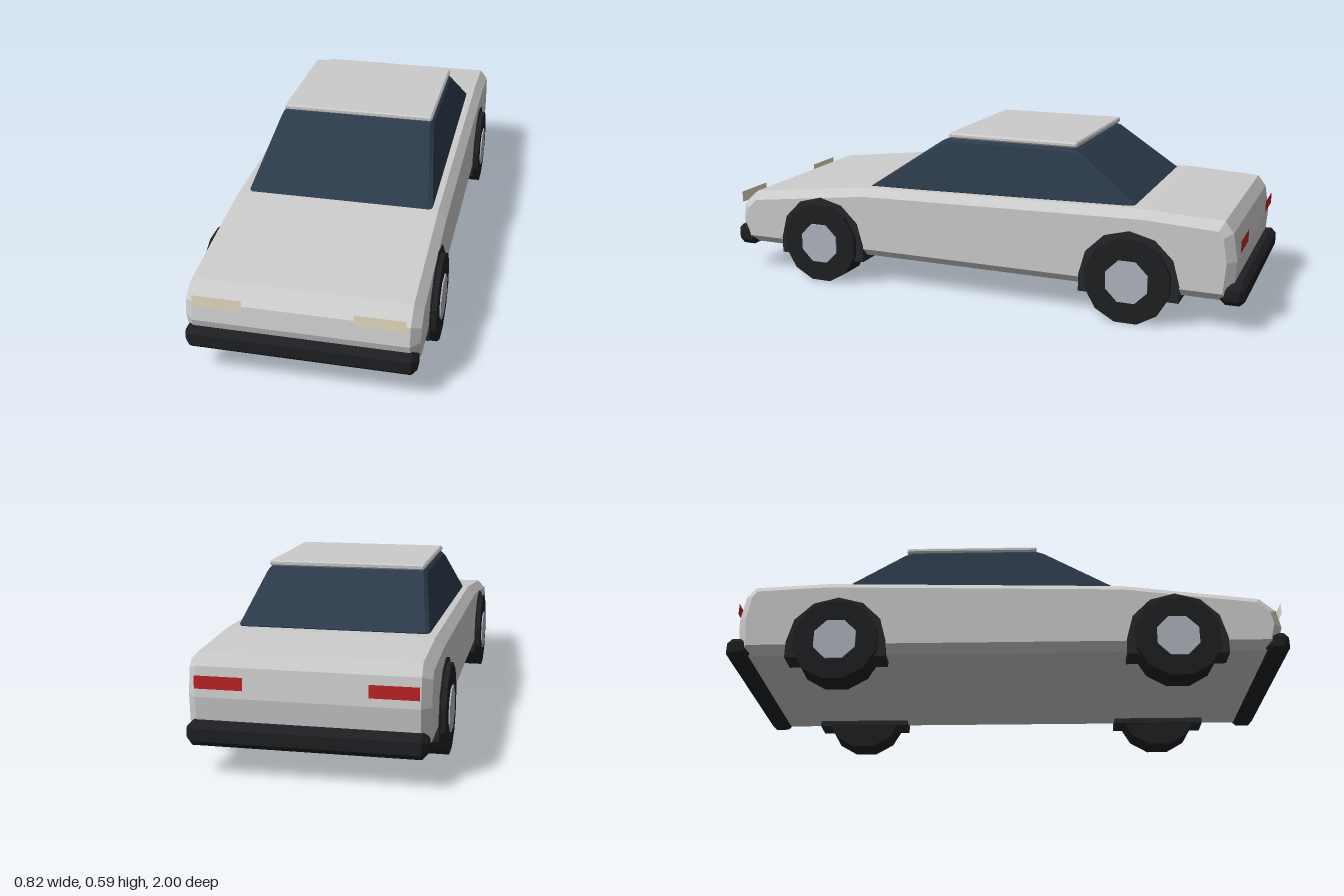
import * as THREE from 'three';

const paint = (color) => new THREE.MeshStandardMaterial({ color, flatShading: true });

// Side profile of [z, y] points, extruded across x between -half and half with chamfered sides
function sideExtrude(points, half, bevel) {
  const shape = new THREE.Shape(points.map(([z, y]) => new THREE.Vector2(z, y)));
  const depth = 2 * (half - bevel);
  const geo = new THREE.ExtrudeGeometry(shape, {
    depth, steps: 1, bevelEnabled: bevel > 0, bevelThickness: bevel,
    bevelSize: bevel, bevelOffset: -bevel, bevelSegments: 1,
  });
  geo.translate(0, 0, -depth / 2);
  geo.rotateY(-Math.PI / 2);
  return geo;
}

// Rectangle in [z, y] with cut corners
function cutRect(z0, z1, y0, y1, c) {
  return [[z0 + c, y0], [z1 - c, y0], [z1, y0 + c], [z1, y1 - c],
    [z1 - c, y1], [z0 + c, y1], [z0, y1 - c], [z0, y0 + c]];
}

export function createModel() {
  const car = new THREE.Group();
  const grey = paint(0xcccccc), glass = paint(0x2b3a4a), black = paint(0x1e1f22);
  const rubber = paint(0x26272a), metal = paint(0xb0b4be);
  const lampMat = paint(0xe8dfc4), tailMat = paint(0xc02424);
  lampMat.side = tailMat.side = THREE.DoubleSide;

  const add = (name, geo, mat, parent = car) => {
    const mesh = new THREE.Mesh(geo, mat);
    mesh.name = name;
    parent.add(mesh);
    return mesh;
  };

  // Body shell
  add('body', sideExtrude([
    [-0.955, 0.11], [0.955, 0.11], [0.98, 0.2], [0.967, 0.265], [0.91, 0.315],
    [0.42, 0.375], [-0.65, 0.398], [-0.92, 0.384], [-0.95, 0.345], [-0.966, 0.25],
  ], 0.385, 0.03), grey);

  // Glass cabin, narrowed towards the roof
  const cabin = sideExtrude([
    [0.418, 0.373], [0.14, 0.56], [0.11, 0.572], [-0.355, 0.572], [-0.385, 0.56], [-0.607, 0.4],
    [-0.58, 0.385],
  ], 0.333, 0.012);
  const pos = cabin.attributes.position;
  for (let i = 0; i < pos.count; i++) {
    const t = (pos.getY(i) - 0.38) / 0.18;
    pos.setX(i, pos.getX(i) * (1 - 0.14 * t));
  }
  cabin.computeVertexNormals();
  add('cabinGlass', cabin, glass);

  // Roof panel
  add('roof', sideExtrude(cutRect(-0.38, 0.113, 0.571, 0.591, 0.005), 0.28, 0.006), grey);

  // Bumpers
  add('frontBumper', sideExtrude(cutRect(0.915, 1, 0.098, 0.175, 0.018), 0.38, 0.018), black);
  add('rearBumper', sideExtrude(cutRect(-1, -0.915, 0.098, 0.175, 0.018), 0.38, 0.018), black);

  // Wheel arch: half a twelve-sided disc with straight legs
  const archPoints = [[-0.178, -0.06], [0.178, -0.06]];
  for (let i = 0; i <= 6; i++) {
    const a = (i * Math.PI) / 6;
    archPoints.push([0.178 * Math.cos(a), 0.175 * Math.sin(a)]);
  }
  const archGeo = sideExtrude(archPoints, 0.046, 0);
  const tireGeo = new THREE.CylinderGeometry(0.154, 0.154, 0.105, 12).rotateY(Math.PI / 12).rotateZ(Math.PI / 2);
  const hubGeo = new THREE.CylinderGeometry(0.08, 0.08, 0.03, 8).rotateY(Math.PI / 8).rotateZ(Math.PI / 2);

  for (const side of [-1, 1]) {
    const sideName = side > 0 ? 'left' : 'right';
    for (const z of [0.605, -0.605]) {
      const wheel = new THREE.Group();
      wheel.name = sideName + (z > 0 ? 'FrontWheel' : 'RearWheel');
      wheel.position.set(0, 0.149, z);
      add('wheelArch', archGeo, rubber, wheel).position.x = side * 0.342;
      add('tire', tireGeo, black, wheel).position.x = side * 0.353;
      add('hubcap', hubGeo, metal, wheel).position.x = side * 0.395;
      car.add(wheel);
    }
    // Flat lamp panels
    add(sideName + 'Headlight', new THREE.PlaneGeometry(0.164, 0.042), lampMat)
      .position.set(side * 0.263, 0.281, 0.99);
    const tail = add(sideName + 'TailLight', new THREE.PlaneGeometry(0.156, 0.042), tailMat);
    tail.position.set(side * 0.275, 0.3, -0.975);
    tail.rotation.y = Math.PI;
  }
  return car;
}
